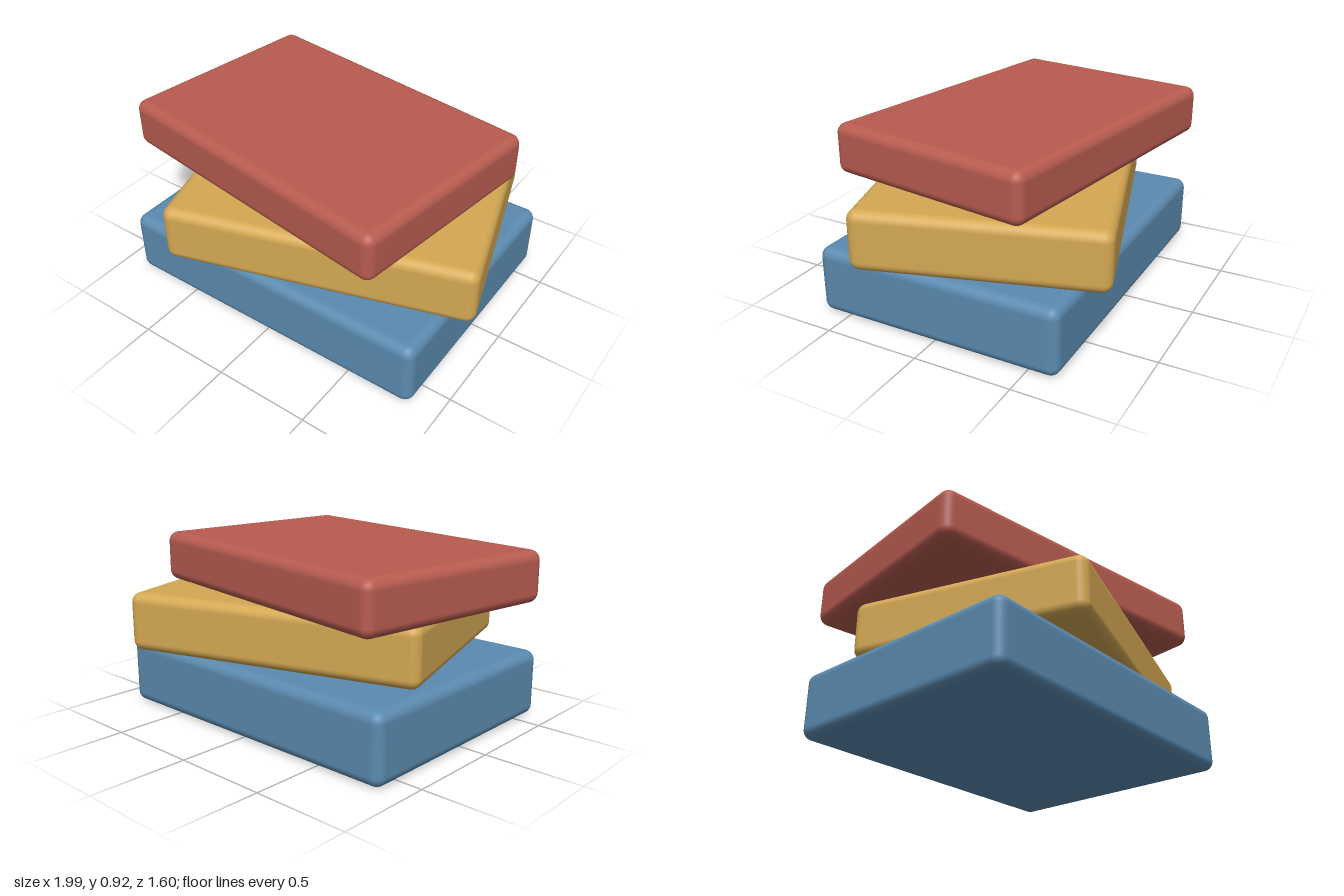
import * as THREE from 'three';
import { RoundedBoxGeometry } from 'three/addons/geometries/RoundedBoxGeometry.js';

// A stack of three soft-edged slabs, each turned a little
export function createModel() {
  const model = new THREE.Group();
  model.name = 'slabStack';

  const material = (name, color) => {
    const m = new THREE.MeshStandardMaterial({ color });
    m.name = name;
    return m;
  };

  const addSlab = (name, mat, [w, h, d], [x, y, z], turn) => {
    const slab = new THREE.Mesh(new RoundedBoxGeometry(w, h, d, 4, 0.052), mat);
    slab.name = name;
    slab.position.set(x, y + h / 2, z); // y is the underside
    slab.rotation.y = turn;
    model.add(slab);
  };

  addSlab('bottomSlab', material('blue', 0x5b8bb0), [1.745, 0.35, 1.31], [-0.012, 0, 0], 0);
  addSlab('middleSlab', material('ochre', 0xd4a853), [1.572, 0.305, 1.221], [0.075, 0.36, 0], 0.3);
  addSlab('topSlab', material('red', 0xb85c50), [1.659, 0.262, 1.136], [-0.1, 0.661, -0.002], -0.15);

  return model;
}
